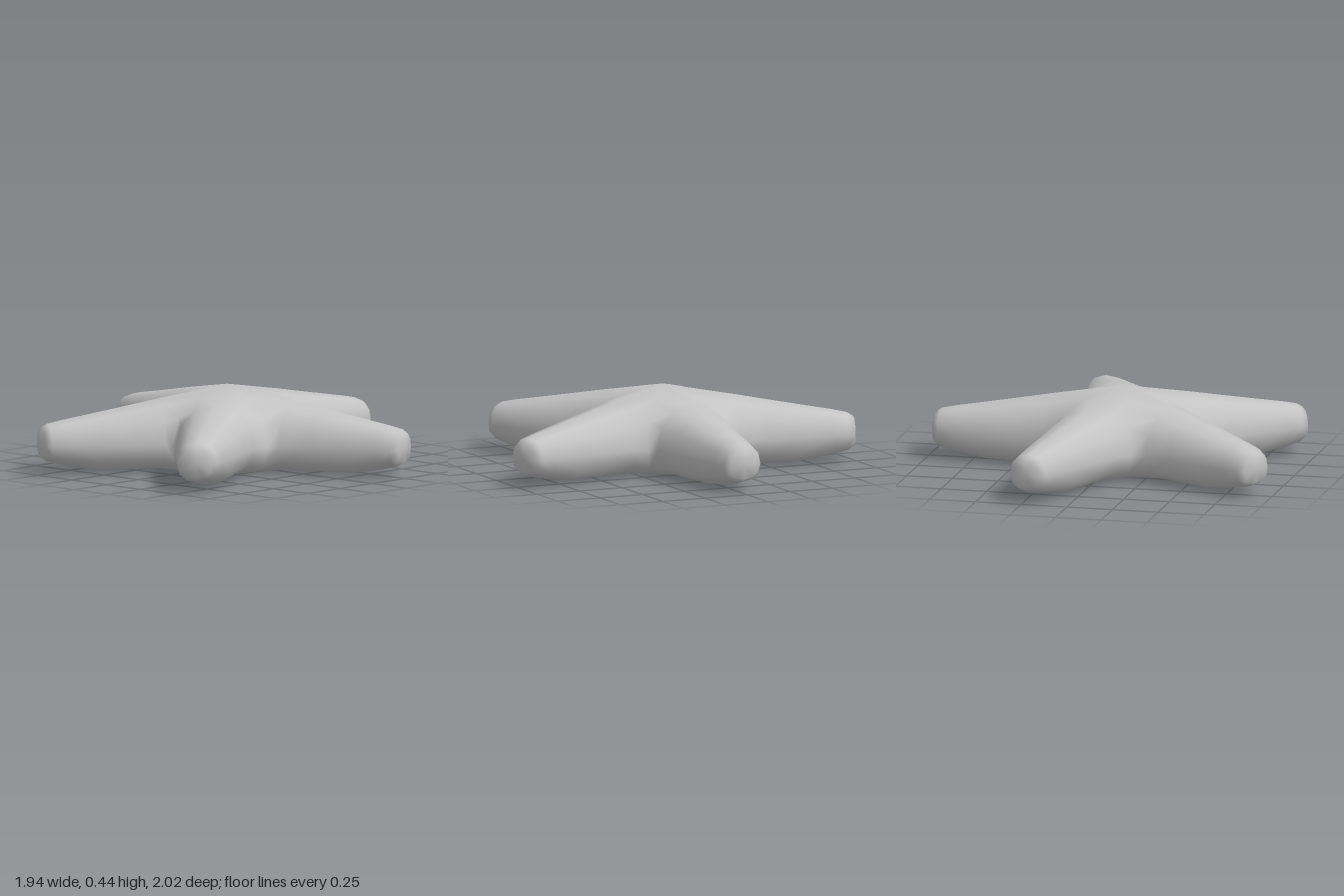
import * as THREE from 'three';
import { mergeVertices } from 'three/addons/utils/BufferGeometryUtils.js';

const CENTRE = [-0.06, 0];
// arm tips and the valleys that follow each of them, as [x, z]
const TIPS = [[0.97, 0], [0.28, 0.98], [-0.91, 0.57], [-0.93, -0.55], [0.235, -0.995]];
const VALLEYS = [[0.295, 0.248], [-0.18, 0.4], [-0.49, 0], [-0.195, -0.39], [0.28, -0.248]];
// seam from the crown through a valley to the belly: [fraction outward, height]
const SEAM = [[0, 0.445], [0.5, 0.39], [0.87, 0.3], [1, 0.15], [0.93, 0.06], [0.72, 0.01], [0, 0.003]];
// arm sections: [fraction of length, half width, bottom, top]
const SECTIONS = [
  [0.38, 0.213, 0.006, 0.378],
  [0.53, 0.187, 0.006, 0.349],
  [0.7, 0.157, 0.008, 0.317],
  [0.88, 0.125, 0.04, 0.284],
  [0.96, 0.11, 0.062, 0.266],
  [0.994, 0.085, 0.085, 0.245],
];
const N = 12;

const seamPoint = (valley, [f, y]) => [
  CENTRE[0] + (valley[0] - CENTRE[0]) * f, y, CENTRE[1] + (valley[1] - CENTRE[1]) * f,
];

// root ring: down one valley seam and back up the other
function rootRing(plus, minus) {
  const ring = [];
  for (let j = 0; j < N; j++) {
    ring.push(j <= 6 ? seamPoint(plus, SEAM[j]) : seamPoint(minus, SEAM[N - j]));
  }
  return ring;
}

// rounded section across an arm
function armRing(tip, [u, half, bottom, top]) {
  const dx = tip[0] - CENTRE[0], dz = tip[1] - CENTRE[1], len = Math.hypot(dx, dz);
  const mid = 0.155;
  const ring = [];
  for (let j = 0; j < N; j++) {
    const a = (j / N) * Math.PI * 2;
    const c = Math.cos(a), s = Math.sin(a);
    const w = half * Math.sign(s) * Math.pow(Math.abs(s), 0.95);
    const h = c > 0 ? (top - mid) * Math.pow(c, 0.9) : -(mid - bottom) * Math.pow(-c, 0.75);
    ring.push([CENTRE[0] + dx * u - (dz / len) * w, mid + h, CENTRE[1] + dz * u + (dx / len) * w]);
  }
  return ring;
}

function starGeometry() {
  const positions = [];
  const tri = (a, b, c) => positions.push(...a, ...b, ...c);
  TIPS.forEach((tip, i) => {
    const rings = [rootRing(VALLEYS[i], VALLEYS[(i + 4) % 5]), ...SECTIONS.map((s) => armRing(tip, s))];
    for (let r = 0; r < rings.length - 1; r++) {
      for (let j = 0; j < N; j++) {
        const k = (j + 1) % N;
        const a = rings[r][j], b = rings[r][k], c = rings[r + 1][k], d = rings[r + 1][j];
        // mirror the diagonals on the two sides of the arm
        if (j < 6) { tri(a, b, d); tri(b, c, d); } else { tri(a, b, c); tri(a, c, d); }
      }
    }
    // rounded end
    const last = rings[rings.length - 1];
    const end = [tip[0], 0.165, tip[1]];
    for (let j = 0; j < N; j++) tri(last[j], last[(j + 1) % N], end);
  });
  const geometry = new THREE.BufferGeometry();
  geometry.setAttribute('position', new THREE.Float32BufferAttribute(positions, 3));
  const merged = mergeVertices(geometry, 1e-4);
  merged.computeVertexNormals();
  return merged;
}

export function createModel() {
  const group = new THREE.Group();
  group.name = 'starfish';
  const grey = new THREE.MeshStandardMaterial({ color: 0xc4c4c4 });
  grey.name = 'light grey';
  const body = new THREE.Mesh(starGeometry(), grey);
  body.name = 'fiveArmedBody';
  group.add(body);
  return group;
}
